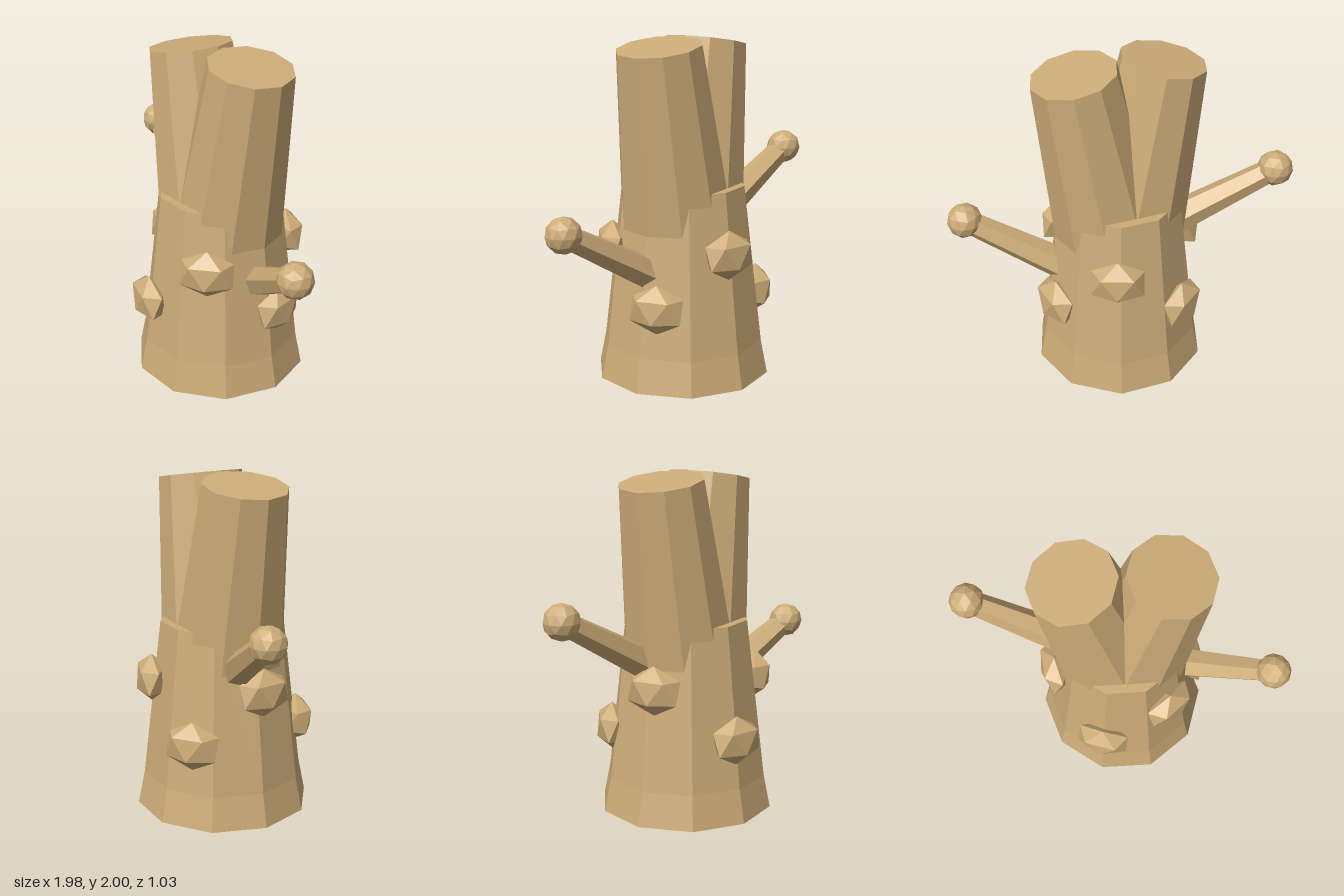
import * as THREE from 'three';

const wood = new THREE.MeshStandardMaterial({ color: 0xcdac78, flatShading: true });
wood.name = 'wood';
const UP = new THREE.Vector3(0, 1, 0);
const Z0 = -0.01;

function add(parent, name, geometry) {
  const mesh = new THREE.Mesh(geometry, wood);
  mesh.name = name;
  parent.add(mesh);
  return mesh;
}

// Tapered prism between two points, with corners on its local x axis
function limb(parent, name, from, to, rFrom, rTo, sides) {
  const a = new THREE.Vector3(...from), b = new THREE.Vector3(...to);
  const start = Math.PI / 2 - Math.floor(sides / 4) * 2 * Math.PI / sides;
  const mesh = add(parent, name,
    new THREE.CylinderGeometry(rTo, rFrom, a.distanceTo(b), sides, 1, false, start));
  mesh.position.copy(a).add(b).multiplyScalar(0.5);
  mesh.quaternion.setFromUnitVectors(UP, b.sub(a).normalize());
  return mesh;
}

// Icosahedron standing on a corner, with a lower corner facing +z
function uprightIcosahedron(radius, detail) {
  const g = new THREE.IcosahedronGeometry(radius, detail);
  g.rotateX(-Math.atan2((1 + Math.sqrt(5)) / 2, 1));
  return g.rotateZ(Math.PI);
}

export function createModel() {
  const group = new THREE.Group();
  group.name = 'treeStump';

  // Ten-sided trunk with a flared foot
  const profile = [[0, 0], [0.52, 0], [0.48, 0.2], [0.368, 1.14], [0, 1.14]]
    .map(([r, y]) => new THREE.Vector2(r, y));
  add(group, 'trunk', new THREE.LatheGeometry(profile, 10, Math.PI / 10)).position.z = Z0;

  // Forked upper trunks
  for (const side of [-1, 1]) {
    limb(group, side > 0 ? 'leftFork' : 'rightFork',
      [0, 0.565, Z0], [side * 0.26, 1.955, Z0], 0.36, 0.247, 10);
  }

  // Side branches ending in round buds
  const branches = [
    ['leftBranch', [0.2, 0.585, -0.05], [0.88, 0.99, 0.21]],
    ['rightBranch', [-0.2, 0.85, -0.06], [-0.885, 1.245, -0.24]],
  ];
  for (const [name, from, to] of branches) {
    limb(group, name, from, to, 0.105, 0.068, 6);
    add(group, name + 'Bud', uprightIcosahedron(0.105, 1)).position.set(...to);
  }

  // Flattened bark knots facing outward
  const knots = [
    [-0.145, 0.49, 0.42], [0.43, 0.49, -0.09], [-0.27, 0.49, -0.36],
    [0.265, 0.79, 0.31], [-0.41, 0.79, 0.03], [0.15, 0.79, -0.405],
  ];
  knots.forEach(([x, y, z], i) => {
    const knot = add(group, 'knot' + (i + 1), uprightIcosahedron(0.145, 0));
    knot.position.set(x, y, z);
    knot.rotation.y = Math.atan2(x, z - Z0);
    knot.scale.set(1.24, 1, 0.7);
  });

  return group;
}
